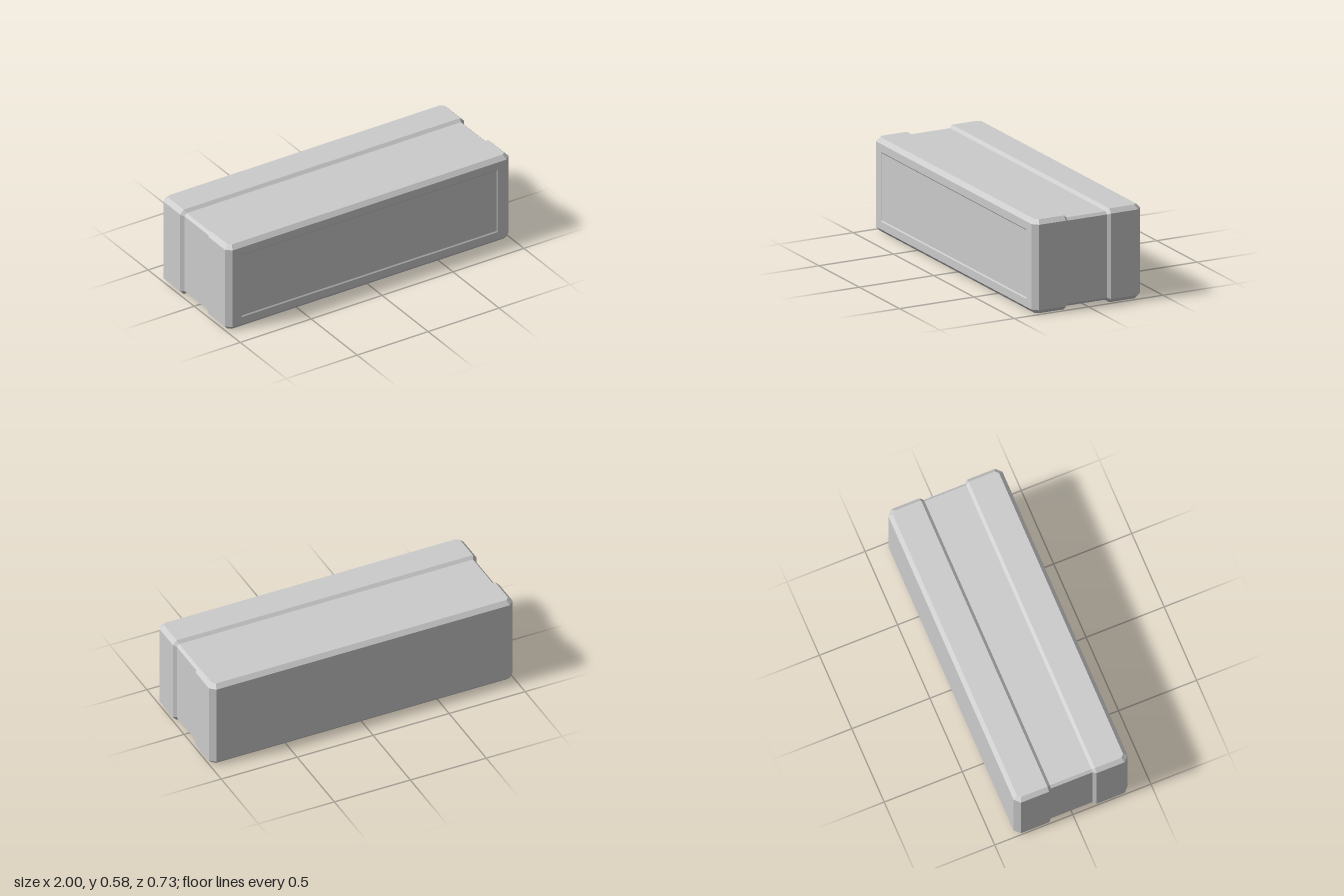
import * as THREE from 'three';

const MID_Y = 0.29;

// Eight-cornered ring, anticlockwise seen from the front. The side corners
// (sx, sy, sz) and the top/bottom corners (tx, ty, tz) may sit at different depths.
function ring(sx, sy, sz, tx = sx, ty = sy, tz = sz) {
  const quarter = [[sx, sy, sz], [tx, ty, tz]];
  const flip = (list, x, y) => list.map((p) => [p[0] * x, p[1] * y, p[2]]);
  return [
    ...quarter,
    ...flip(quarter, -1, 1).reverse(),
    ...flip(quarter, -1, -1),
    ...flip(quarter, 1, -1).reverse(),
  ].map((p) => new THREE.Vector3(p[0], p[1] + MID_Y, p[2]));
}

// Flat-faced skin over rings running front to back, with optional end caps.
function loft(name, rings, capFront, capBack) {
  const positions = [];
  const tri = (a, b, c) => {
    const area = b.clone().sub(a).cross(c.clone().sub(a)).length();
    if (area > 1e-8) for (const p of [a, b, c]) positions.push(p.x, p.y, p.z);
  };
  for (let i = 0; i < rings.length - 1; i++) {
    const a = rings[i], b = rings[i + 1];
    for (let j = 0; j < 8; j++) {
      const k = (j + 1) % 8;
      tri(a[j], b[j], b[k]);
      tri(a[j], b[k], a[k]);
    }
  }
  const first = rings[0], last = rings[rings.length - 1];
  for (let j = 1; j < 7; j++) {
    if (capFront) tri(first[0], first[j], first[j + 1]);
    if (capBack) tri(last[0], last[j + 1], last[j]);
  }
  const geometry = new THREE.BufferGeometry();
  geometry.setAttribute('position', new THREE.Float32BufferAttribute(positions, 3));
  geometry.computeVertexNormals();
  const material = new THREE.MeshStandardMaterial({ color: 0xcccccc, flatShading: true });
  const mesh = new THREE.Mesh(geometry, material);
  mesh.name = name;
  return mesh;
}

export function createModel() {
  const group = new THREE.Group();
  group.name = 'box';

  // One half of the casing, from the end face in to the middle band
  const half = [
    ring(0.966, 0.264, 0.365),
    ring(1, 0.264, 0.332, 0.956, 0.29, 0.34),
    ring(1, 0.264, 0.332, 0.975, 0.29, 0.322),
    ring(1, 0.264, 0.152, 0.975, 0.29, 0.152),
    ring(0.983, 0.257, 0.133, 0.967, 0.273, 0.133),
  ];
  const mirrored = half.map((r) => r.map((p) => new THREE.Vector3(p.x, p.y, -p.z))).reverse();

  // Narrow bevel sinking the panel into the front face
  const panelEdge = ring(0.897, 0.207, 0.36);
  const frameEdge = ring(0.905, 0.215, 0.365);

  group.add(loft('casing', [...half, ...mirrored], false, true));
  group.add(loft('frontFrame', [panelEdge, frameEdge, half[0]], false, false));
  group.add(loft('frontPanel', [panelEdge], true, false));
  return group;
}
